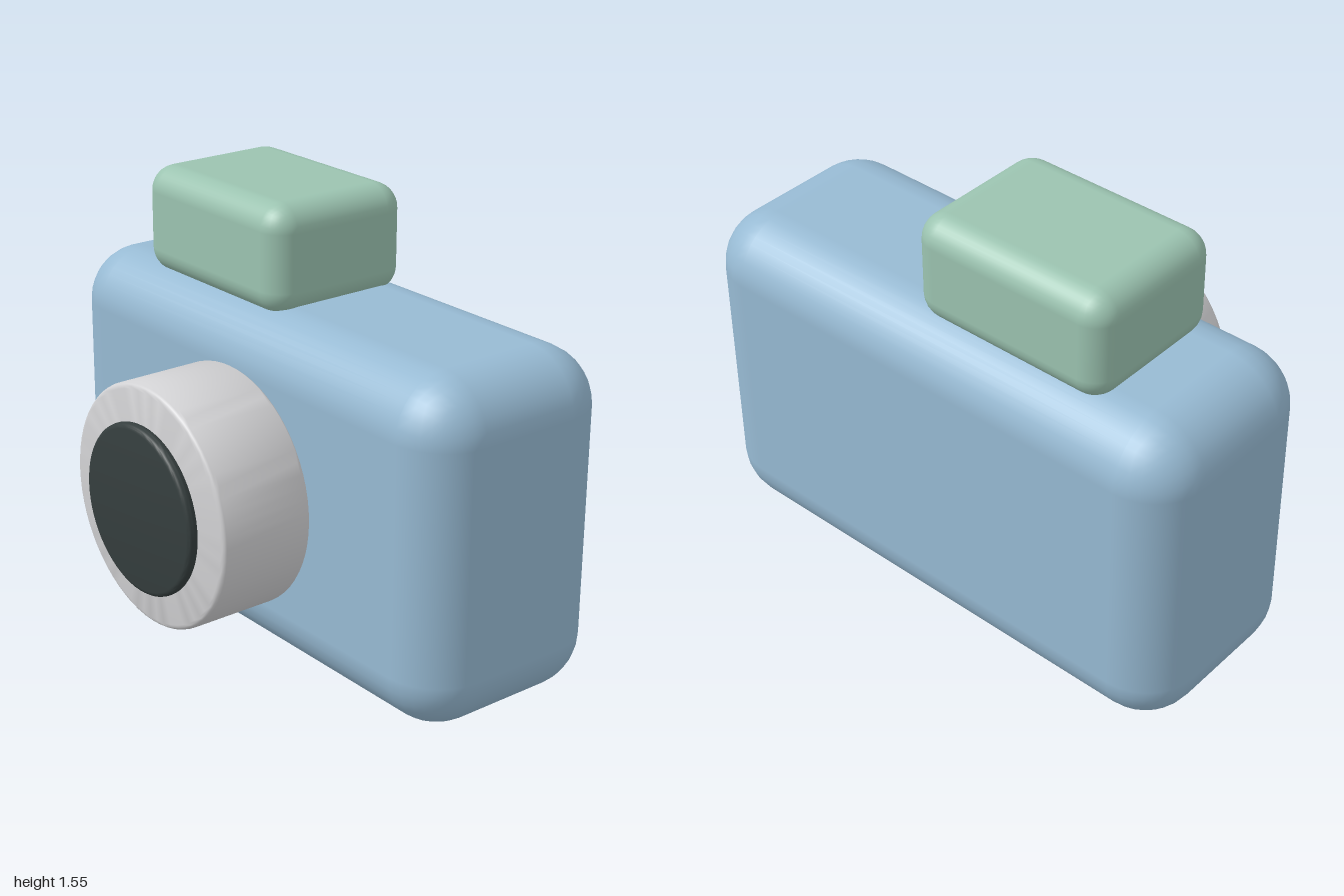
import * as THREE from 'three';
import { RoundedBoxGeometry } from 'three/addons/geometries/RoundedBoxGeometry.js';
import { toCreasedNormals } from 'three/addons/utils/BufferGeometryUtils.js';

const material = (name, color) => {
  const m = new THREE.MeshStandardMaterial({ color });
  m.name = name;
  return m;
};

// Rounded block given by its minimum and maximum corners
function block(name, min, max, radius, mat) {
  const size = max.map((v, i) => v - min[i]);
  const mesh = new THREE.Mesh(new RoundedBoxGeometry(...size, 4, radius), mat);
  mesh.position.set(...max.map((v, i) => (v + min[i]) / 2));
  mesh.name = name;
  return mesh;
}

// Closed disc with rounded rims, its axis along z from back to front
function disc(name, radius, back, front, bevel, mat) {
  const depth = front - back;
  const profile = [new THREE.Vector2(0, 0)];
  for (const [y, start] of [[bevel, -Math.PI / 2], [depth - bevel, 0]]) {
    for (let i = 0; i <= 4; i++) {
      const a = start + (i / 4) * Math.PI / 2;
      profile.push(new THREE.Vector2(radius - bevel + bevel * Math.cos(a), y + bevel * Math.sin(a)));
    }
  }
  profile.push(new THREE.Vector2(0, depth));
  const geometry = toCreasedNormals(new THREE.LatheGeometry(profile, 64), 0.6);
  geometry.rotateX(Math.PI / 2);
  const mesh = new THREE.Mesh(geometry, mat);
  mesh.position.set(0, 0.605, back);
  mesh.name = name;
  return mesh;
}

export function createModel() {
  const blue = material('body blue', 0x97bad3);
  const green = material('viewfinder green', 0x9bc3b0);
  const silver = material('lens silver', 0xd2d2d4);
  const dark = material('glass dark', 0x353e3e);

  const model = new THREE.Group();
  model.name = 'camera';
  model.add(
    block('body', [-1, 0, -0.583], [1, 1.2, 0.18], 0.2, blue),
    block('viewfinder', [-0.665, 1.165, -0.483], [0.095, 1.547, 0.08], 0.09, green),
    disc('lensBarrel', 0.42, 0.19, 0.54, 0.02, silver),
    disc('lensGlass', 0.295, 0.543, 0.584, 0.018, dark),
  );
  return model;
}
